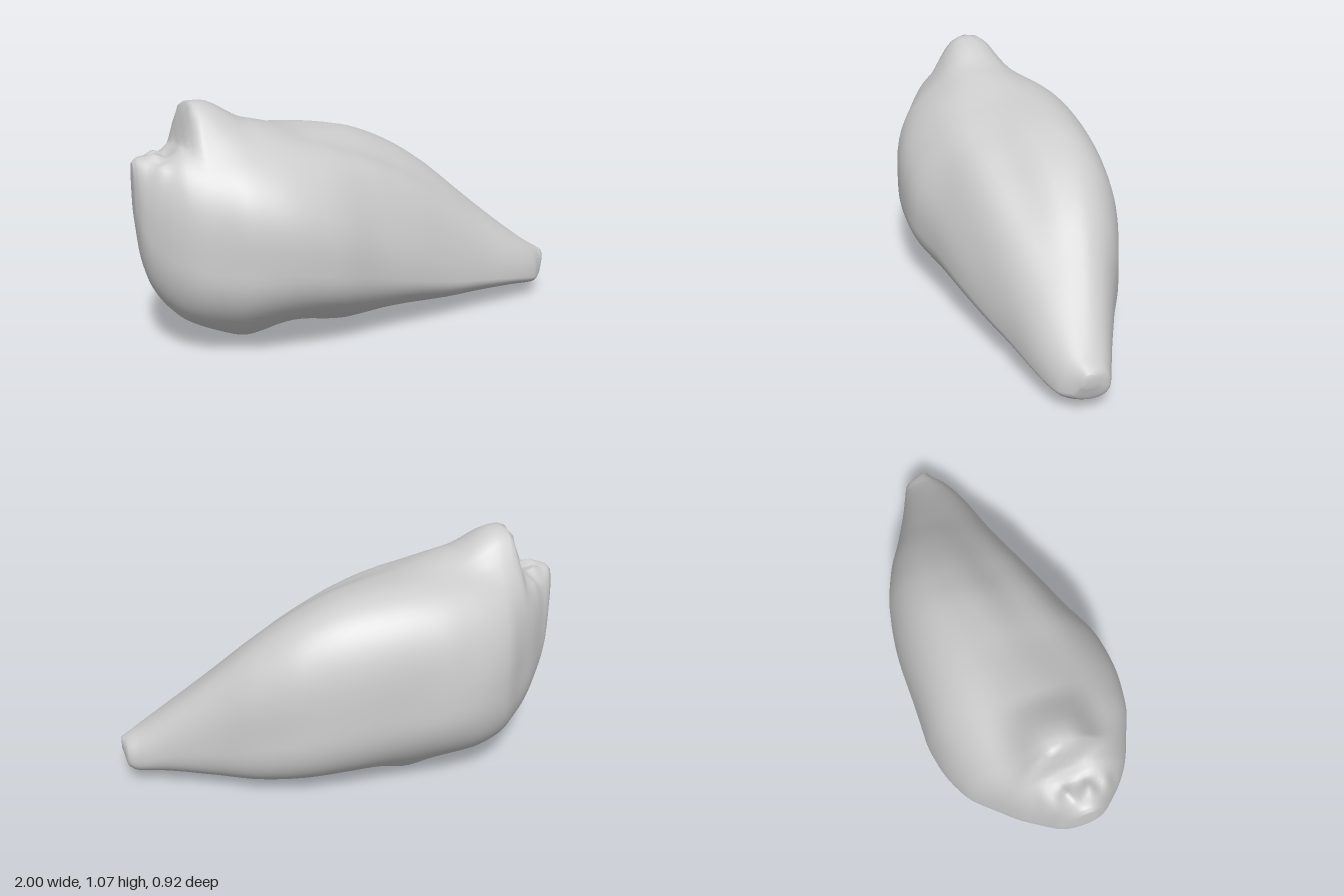
import * as THREE from 'three';

// Cross-sections along the body: x, bottom y, top y, back z, front z, z of the top line
const SECTIONS = [
  [-1.00, 0.60, 0.84, 0.04, 0.13, 0.09],
  [-0.98, 0.42, 0.86, -0.01, 0.18, 0.09],
  [-0.94, 0.29, 0.87, -0.06, 0.23, 0.09],
  [-0.87, 0.19, 0.89, -0.16, 0.30, 0.08],
  [-0.80, 0.13, 0.92, -0.24, 0.35, 0.06],
  [-0.70, 0.09, 0.93, -0.35, 0.395, 0.03],
  [-0.55, 0.065, 0.94, -0.42, 0.445, -0.01],
  [-0.40, 0.065, 0.935, -0.45, 0.455, -0.06],
  [-0.22, 0.055, 0.92, -0.455, 0.44, -0.12],
  [0.00, 0.045, 0.88, -0.46, 0.365, -0.17],
  [0.20, 0.045, 0.80, -0.45, 0.30, -0.20],
  [0.40, 0.04, 0.675, -0.40, 0.225, -0.19],
  [0.60, 0.05, 0.51, -0.31, 0.155, -0.16],
  [0.80, 0.06, 0.345, -0.23, 0.095, -0.11],
  [0.92, 0.055, 0.255, -0.19, 0.04, -0.08],
  [0.97, 0.075, 0.225, -0.17, -0.01, -0.08],
  [1.00, 0.15, 0.205, -0.10, -0.045, -0.075],
];
const AROUND = 72, STEPS = 5;

// Smooth blend of neighbouring sections
function sectionAt(i, t) {
  const n = SECTIONS.length - 1;
  const [p, q, r, s] = [i - 1, i, i + 1, i + 2].map(k => SECTIONS[Math.min(n, Math.max(0, k))]);
  const h = r[0] - q[0], t2 = t * t, t3 = t2 * t;
  return q.map((v, k) => {
    if (k === 0) return v + h * t;
    const rate = (a, b) => (b[k] - a[k]) / (b[0] - a[0]);
    const slope = (d0, d1) => (d0 * d1 > 0 ? 2 * d0 * d1 / (d0 + d1) : 0);
    const chord = rate(q, r);
    const m0 = p === q ? chord : slope(rate(p, q), chord);
    const m1 = s === r ? chord : slope(chord, rate(r, s));
    return (2 * t3 - 3 * t2 + 1) * v + (t3 - 2 * t2 + t) * h * m0
      + (3 * t2 - 2 * t3) * r[k] + (t3 - t2) * h * m1;
  });
}

const { smoothstep, lerp } = THREE.MathUtils;
const bell = (v, centre, width) => Math.exp(-(((v - centre) / width) ** 2));
const power = (v, n) => Math.sign(v) * Math.abs(v) ** (2 / n);

// Crest, broken pit, grooves and underside knobs added to a plain section point
function sculpt(x, y, z, up) {
  const top = Math.max(0, up), under = Math.max(0, -up);
  if (top > 0) {
    const rise = smoothstep(x - 0.2 * (z - 0.03), -0.805, -0.765);
    const fall = 0.65 * (1 - smoothstep(x, -0.72, -0.5)) + 0.35 * (1 - smoothstep(x, -0.6, -0.2));
    const flatTop = Math.exp(-(Math.abs((z - 0.04) / 0.15) ** 3));
    y += 0.15 * rise * fall * flatTop * Math.sqrt(top);
    y -= 0.04 * bell(x, -0.85, 0.05) * bell(z, 0.07, 0.09) * top;
    y += 0.015 * bell(x, -0.9, 0.03) * Math.sin(z * 70) * top;
    // shallow valley between the back hump and the front shoulder
    const grooveZ = 0.06 - 0.15 * x;
    y -= 0.03 * bell(z, grooveZ, 0.08) * bell(x, 0.15, 0.4) * top;
    y += 0.012 * bell(z, grooveZ + 0.15, 0.07) * bell(x, 0.25, 0.4) * top;
  }
  y -= under * (0.055 * bell(x, -0.28, 0.12) * bell(z, -0.16, 0.15)
    + 0.035 * bell(x, -0.55, 0.15) * bell(z, 0.17, 0.13)
    + 0.03 * bell(x, -0.12, 0.15) * bell(z, 0.15, 0.13));
  y += under * 0.025 * bell(x, -0.4, 0.07) * bell(z, 0.03, 0.15);
  // gentle overall lumpiness, fading toward both ends
  const lump = 0.007 * (1 - x * x) * (Math.sin(9 * x + 7 * y + 3 * z) + Math.sin(13 * y - 11 * z + 5 * x));
  return [x, y + lump * up * 0.5, z + lump * Math.sign(z) * (1 - Math.abs(up)) * 0.8];
}

function bodyGeometry() {
  const positions = [], index = [], rows = [];
  for (let i = 0; i < SECTIONS.length - 1; i++)
    for (let s = 0; s < STEPS; s++) rows.push(sectionAt(i, s / STEPS));
  rows.push(SECTIONS[SECTIONS.length - 1]);

  for (const [x, low, high, back, front, crown] of rows) {
    // the widest line drops along the front toward the tip
    const tail = smoothstep(x, -0.5, 0.5);
    const frontMiddle = lerp(0.39, 0.25, tail), backMiddle = 0.41;
    const frontTop = lerp(2.4, 2.05, tail), backTop = lerp(2.5, 2.25, tail);
    for (let j = 0; j < AROUND; j++) {
      const a = j / AROUND * Math.PI * 2, c = Math.cos(a), u = Math.sin(a);
      const n = u > 0 ? (c > 0 ? frontTop : backTop) : (c > 0 ? 2.1 : 2.4);
      const up = power(u, n), side = power(c, n);
      const z = crown + side * (c > 0 ? front - crown : crown - back);
      const middle = low + (high - low) * lerp(backMiddle, frontMiddle, smoothstep(c, -0.7, 0.7));
      const y = middle + up * (up > 0 ? high - middle : middle - low);
      positions.push(...sculpt(x, y, z, up));
    }
  }
  for (let i = 0; i < rows.length - 1; i++)
    for (let j = 0; j < AROUND; j++) {
      const k = (j + 1) % AROUND, a = i * AROUND, b = a + AROUND;
      index.push(a + j, b + j, a + k, b + j, b + k, a + k);
    }
  // end caps
  const last = (rows.length - 1) * AROUND, cap = rows.length * AROUND;
  positions.push(-1, 0.72, 0.085, 1, 0.18, -0.075);
  for (let j = 0; j < AROUND; j++) {
    const k = (j + 1) % AROUND;
    index.push(cap, j, k, cap + 1, last + k, last + j);
  }
  const geometry = new THREE.BufferGeometry();
  geometry.setAttribute('position', new THREE.Float32BufferAttribute(positions, 3));
  geometry.setIndex(index);
  geometry.computeVertexNormals();
  return geometry;
}

export function createModel() {
  const group = new THREE.Group();
  group.name = 'taperedRock';
  const body = new THREE.Mesh(bodyGeometry(), new THREE.MeshStandardMaterial({ color: 0xcccccc }));
  body.name = 'rockBody';
  group.add(body);
  return group;
}
